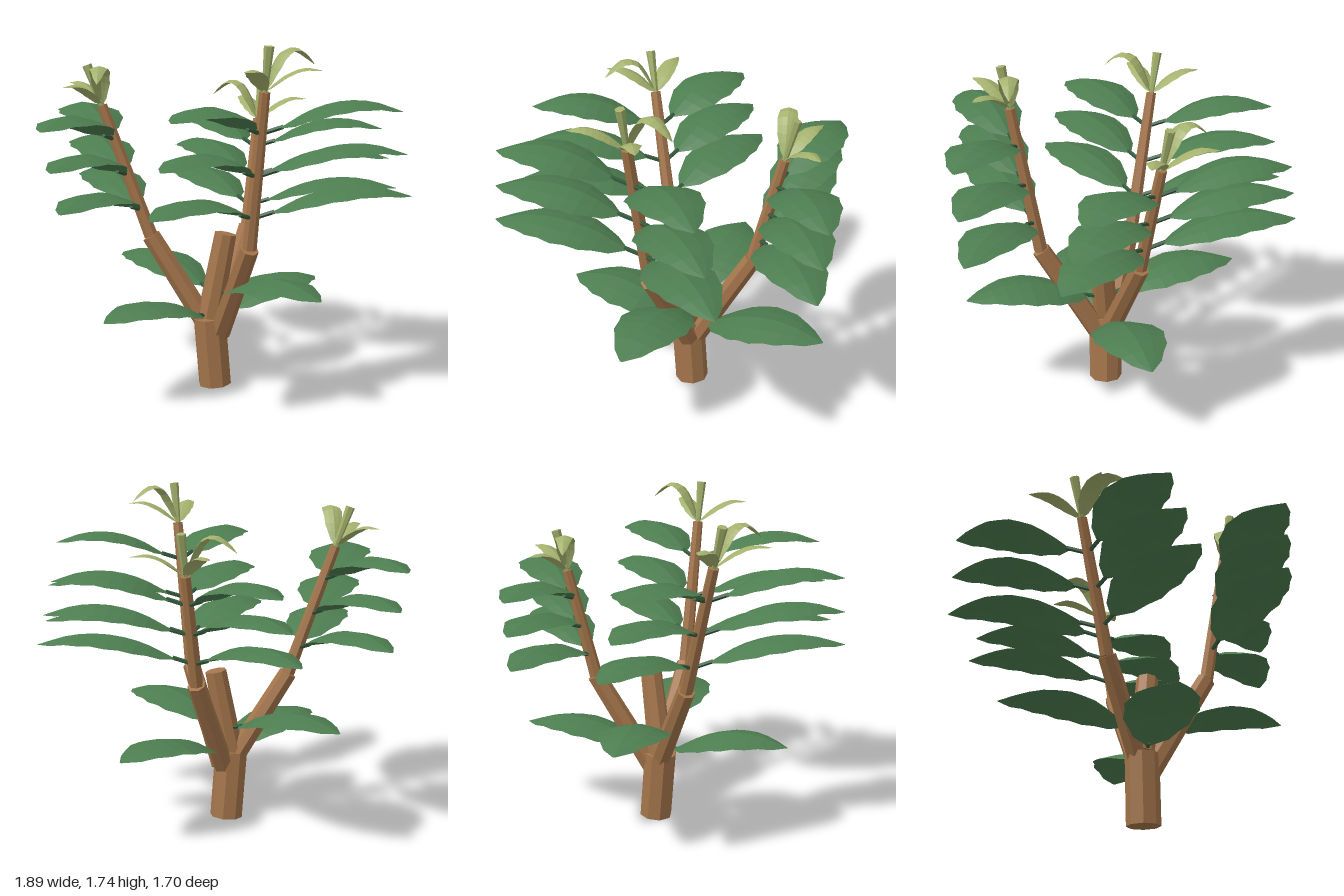
import * as THREE from 'three';

const mat = (color, side = THREE.FrontSide) =>
  new THREE.MeshStandardMaterial({ color, side, flatShading: true });
const bark = mat(0xa4754b);
const stalkGreen = mat(0x355c3d);
const leafGreen = mat(0x4d7d50, THREE.DoubleSide);
const youngGreen = mat(0xa3b06c, THREE.DoubleSide);
const V = (x, y, z) => new THREE.Vector3(x, y, z);

// Straight tapered limb between two points
function limb(name, a, b, r0, r1, sides, material) {
  const mesh = new THREE.Mesh(new THREE.CylinderGeometry(r1, r0, a.distanceTo(b), sides), material);
  mesh.name = name;
  mesh.position.copy(a).add(b).multiplyScalar(0.5);
  mesh.quaternion.setFromUnitVectors(V(0, 1, 0), b.clone().sub(a).normalize());
  return mesh;
}

// Arched blade: a plane bent along a path in the xy plane, its sides drooping
function blade(name, points, halfWidth, droop, material) {
  const path = new THREE.CatmullRomCurve3(points.map(([x, y]) => V(x, y, 0)));
  const geo = new THREE.PlaneGeometry(1, 1, 10, 4);
  const pos = geo.attributes.position;
  for (let i = 0; i < pos.count; i++) {
    const t = pos.getX(i) + 0.5, s = pos.getY(i) * 2;
    const p = path.getPointAt(t), tan = path.getTangentAt(t);
    const ripple = 1 + 0.035 * (Math.round(t * 10) % 2 ? 1 : -1);
    const w = halfWidth * ripple * (0.03 + Math.pow(Math.max(0, Math.sin(Math.PI * Math.pow(t, 0.92))), 0.75));
    const d = droop * Math.pow(Math.abs(s), 1.4) * w / halfWidth;
    pos.setXYZ(i, p.x + tan.y * d, p.y - tan.x * d, -s * w);
  }
  geo.computeVertexNormals();
  const mesh = new THREE.Mesh(geo, material);
  mesh.name = name;
  return mesh;
}

// Stalk and broad leaf, pointing at azimuth az (degrees from +x toward +z)
function leaf(at, az, length, halfWidth, start) {
  const g = new THREE.Group();
  g.name = 'leaf';
  const pts = [0, 0.25, 0.5, 0.75, 1].map(t =>
    [start + t * (length - start), 0.02 + 0.425 * t - 0.35 * t * t]);
  g.add(limb('leafStalk', V(0, -0.005, 0), V(start + 0.02, 0.028, 0), 0.011, 0.011, 5, stalkGreen));
  g.add(blade('leafBlade', pts, halfWidth, 0.04, leafGreen));
  g.position.copy(at);
  g.rotation.y = -az * Math.PI / 180;
  return g;
}

// Young pale leaves and the rolled spear at a branch tip
function crown(at, az, axis) {
  const g = new THREE.Group();
  g.name = 'crown';
  const spread = [[0, 0], [0.09, 0.075], [0.18, 0.11], [0.265, 0.1]];
  const arched = [[0, 0], [0.05, 0.12], [0.1, 0.185], [0.16, 0.2], [0.22, 0.17], [0.27, 0.12]];
  for (const [turn, path] of [[48, spread], [-51, spread], [-90, arched]]) {
    const b = blade('youngLeaf', path, 0.047, 0.015, youngGreen);
    b.rotation.y = -(az + turn) * Math.PI / 180;
    g.add(b);
  }
  g.add(limb('spear', V(0, 0, 0), axis.clone().multiplyScalar(0.21), 0.013, 0.024, 6, youngGreen));
  g.position.copy(at);
  return g;
}

// Two-part branch with three pairs of leaves and a crown
function branch(name, az, foot, elbow, tip) {
  const g = new THREE.Group();
  g.name = name;
  g.add(limb('lowerBranch', foot, elbow, 0.055, 0.047, 7, bark));
  g.add(limb('upperBranch', elbow, tip, 0.035, 0.026, 7, bark));
  [[0.21, 0.76], [0.48, 0.71], [0.75, 0.66]].forEach(([t, length]) => {
    for (const side of [-1, 1])
      g.add(leaf(elbow.clone().lerp(tip, t), az + side * 65, length, 0.155, 0.085));
  });
  g.add(crown(tip, az, tip.clone().sub(elbow).normalize()));
  return g;
}

export function createModel() {
  const model = new THREE.Group();
  model.name = 'plant';

  // Leaning trunk and its cut-off stub
  const fork = V(-0.03, 0.36, 0.092);
  model.add(limb('trunk', V(0, 0.005, 0.097), fork, 0.085, 0.085, 8, bark));
  model.add(limb('stub', fork, V(0.045, 0.79, 0.122), 0.065, 0.056, 8, bark));

  // Three branches around the trunk
  model.add(branch('frontBranch', 90, V(0.005, 0.28, 0.13), V(0.007, 0.77, 0.42), V(0.007, 1.525, 0.545)));
  model.add(branch('rightBranch', 208, V(-0.02, 0.29, 0.085), V(-0.275, 0.775, -0.075), V(-0.48, 1.43, -0.195)));
  model.add(branch('leftBranch', 329, V(0.025, 0.29, 0.085), V(0.275, 0.775, -0.055), V(0.385, 1.33, -0.14)));

  // Crossed pairs of leaves on the trunk
  for (const [az, y, length] of [[-13, 0.36, 0.73], [167, 0.36, 0.7], [77, 0.485, 0.72], [255, 0.485, 0.73]])
    model.add(leaf(V(0, y, 0.1), az, length, 0.17, 0.09));

  return model;
}
